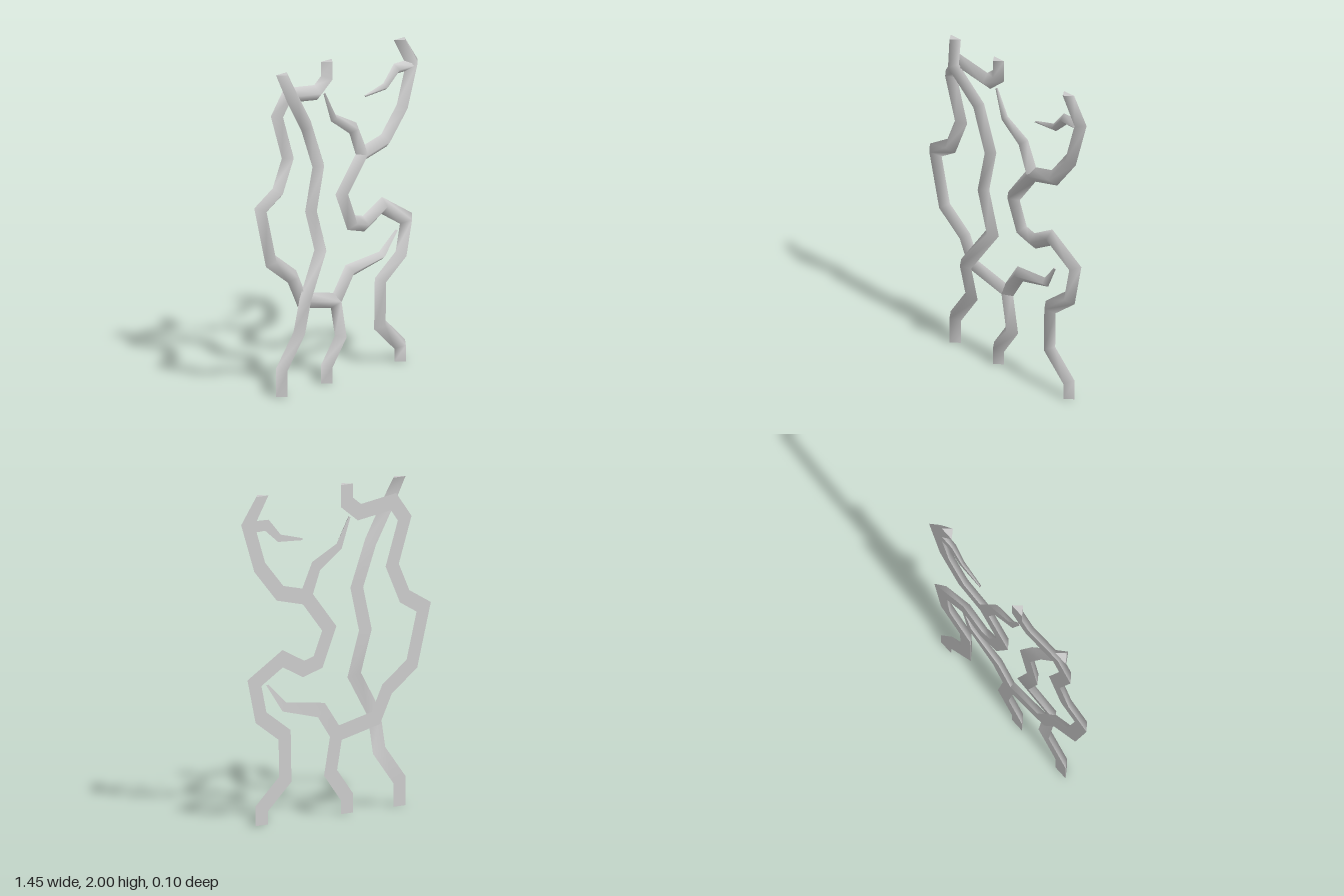
import * as THREE from 'three';

const material = new THREE.MeshStandardMaterial({ color: 0xcccccc });
const BACK = -0.05, WIDTH = 0.093, DEPTH = 0.05;

// Sweeps a triangular section (flat back, front ridge) along mitred points [x, y, width, lift].
function vine(name, path) {
  const pts = path.map(([x, y, w = WIDTH, lift = 0]) => ({ p: new THREE.Vector2(x, y), w, lift }));
  const n = pts.length;
  const dir = (i) => pts[i + 1].p.clone().sub(pts[i].p).normalize();
  const sections = pts.map(({ p, w, lift }, i) => {
    const a = dir(Math.max(i - 1, 0)), b = dir(Math.min(i, n - 2));
    const t = a.clone().add(b).normalize();
    const side = new THREE.Vector2(-t.y, t.x);
    side.multiplyScalar(w / 2 / Math.max(t.dot(a), 0.6));
    // ends on the floor or ceiling are cut level
    const level = (i === 0 || i === n - 1) && (p.y === 0 || p.y === 2);
    if (level) side.set(-Math.sign(t.y) * w / 2, 0);
    const z = BACK + lift;
    return {
      L: [p.x + side.x, p.y + side.y, z],
      R: [p.x - side.x, p.y - side.y, z],
      M: [p.x, p.y, z + DEPTH * Math.min(1, w / WIDTH + 0.1)],
    };
  });

  const positions = [], index = [];
  // A strip owns its vertices, so shading is smooth within it and creased at its borders
  const strip = (keys) => {
    const base = positions.length / 3, k = keys.length;
    sections.forEach((s) => keys.forEach((key) => positions.push(...s[key])));
    for (let i = 0; i < n - 1; i++) {
      for (let j = 0; j < k - 1; j++) {
        const a = base + i * k + j;
        index.push(a, a + 1, a + k + 1, a, a + k + 1, a + k);
      }
    }
  };
  const cap = (s, keys) => {
    const base = positions.length / 3;
    keys.forEach((key) => positions.push(...s[key]));
    index.push(base, base + 1, base + 2);
  };
  strip(['L', 'M', 'R']);
  strip(['R', 'L']);
  cap(sections[0], ['L', 'R', 'M']);
  cap(sections[n - 1], ['L', 'M', 'R']);

  const geometry = new THREE.BufferGeometry();
  geometry.setAttribute('position', new THREE.Float32BufferAttribute(positions, 3));
  geometry.setIndex(index);
  geometry.computeVertexNormals();
  const mesh = new THREE.Mesh(geometry, material);
  mesh.name = name;
  return mesh;
}

export function createModel() {
  const group = new THREE.Group();
  group.name = 'climbingVines';

  // Vine that passes over its neighbour at two crossings
  group.add(vine('crossingVine', [
    [-0.49, 2], [-0.445, 1.845, WIDTH, 0.05], [-0.27, 1.63], [-0.165, 1.365], [-0.23, 1.1],
    [-0.145, 0.835], [-0.335, 0.575, WIDTH, 0.05], [-0.335, 0.355], [-0.49, 0.16], [-0.49, 0],
  ]));

  // Outer vine, looping round the right-hand edge
  group.add(vine('outerVine', [
    [-0.09, 2], [-0.09, 1.89], [-0.185, 1.82], [-0.445, 1.855], [-0.53, 1.745], [-0.435, 1.47],
    [-0.53, 1.27], [-0.675, 1.19], [-0.585, 0.855], [-0.395, 0.72], [-0.31, 0.555],
    [-0.01, 0.49], [0.035, 0.26], [-0.09, 0.1], [-0.09, 0],
  ]));

  // Winding vine on the other side
  group.add(vine('windingVine', [
    [0.555, 2], [0.665, 1.835], [0.575, 1.57], [0.42, 1.395], [0.22, 1.35], [0.045, 1.14],
    [0.13, 0.945], [0.24, 0.915], [0.4, 0.995], [0.615, 0.87], [0.565, 0.655],
    [0.385, 0.53], [0.38, 0.26], [0.56, 0.1], [0.56, 0],
  ]));

  // Tapering shoots
  group.add(vine('lowerShoot', [
    [-0.01, 0.49], [0.105, 0.65, 0.09], [0.37, 0.695, 0.055, 0.02], [0.48, 0.835, 0.014, 0.045],
  ]));
  group.add(vine('upperShoot', [
    [0.64, 1.82, 0.07], [0.52, 1.82, 0.065], [0.425, 1.73, 0.045], [0.25, 1.705, 0.012],
  ]));
  group.add(vine('middleShoot', [
    [0.22, 1.36], [0.145, 1.53, 0.078], [-0.03, 1.63, 0.05], [-0.11, 1.8, 0.014],
  ]));
  return group;
}
